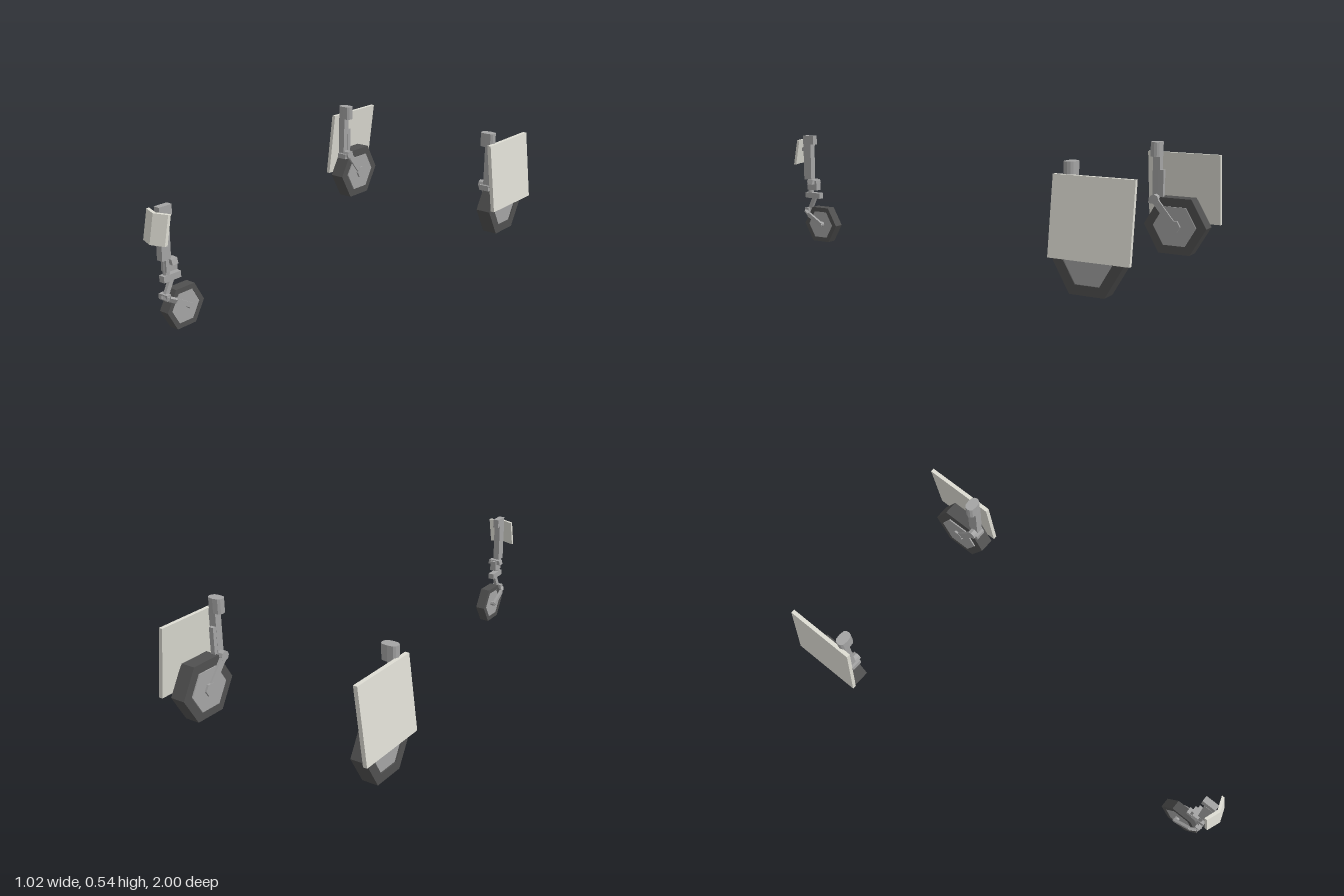
import * as THREE from 'three';

const material = (color) => new THREE.MeshStandardMaterial({ color, flatShading: true });
const metal = material(0xa4a4a4);
const rubber = material(0x505050);
const panel = material(0xdeddd4);

function add(group, name, geometry, mat, x = 0, y = 0, z = 0) {
  const mesh = new THREE.Mesh(geometry, mat);
  mesh.name = name;
  mesh.position.set(x, y, z);
  group.add(mesh);
  return mesh;
}

const box = (group, name, w, h, d, x, y, z) =>
  add(group, name, new THREE.BoxGeometry(w, h, d), metal, x, y, z);

// Straight bar between two points, w wide across x and d deep
function bar(group, name, a, b, w, d) {
  const from = new THREE.Vector3(...a), to = new THREE.Vector3(...b);
  const mid = from.clone().add(to).multiplyScalar(0.5);
  const mesh = box(group, name, w, from.distanceTo(to), d, mid.x, mid.y, mid.z);
  mesh.quaternion.setFromUnitVectors(new THREE.Vector3(0, 1, 0), to.sub(from).normalize());
  return mesh;
}

// Prism lying along x with a corner pointing to +z
const disc = (r, w, sides = 6) => new THREE.CylinderGeometry(r, r, w, sides).rotateZ(Math.PI / 2);

// Outline extruded along z, centred on z = 0
function slab(points, depth) {
  const shape = new THREE.Shape(points.map(([x, y]) => new THREE.Vector2(x, y)));
  return new THREE.ExtrudeGeometry(shape, { depth, bevelEnabled: false }).translate(0, 0, -depth / 2);
}

// Six-sided tyre ring with a hub in its opening
function wheel(group, radius, hubRadius, width, hubWidth, hubShift, x, y, z) {
  const hex = (r, Type) => new Type(Array.from({ length: 6 }, (_, i) =>
    new THREE.Vector2(r * Math.cos(i * Math.PI / 3), r * Math.sin(i * Math.PI / 3))));
  const ring = hex(radius, THREE.Shape);
  ring.holes.push(hex(hubRadius, THREE.Path));
  const tyre = new THREE.ExtrudeGeometry(ring, { depth: width, bevelEnabled: false });
  tyre.translate(0, 0, -width / 2).rotateY(Math.PI / 2);
  add(group, 'tyre', tyre, rubber, x, y, z);
  add(group, 'hub', disc(hubRadius, hubWidth), metal, x + hubShift, y, z);
}

function noseGear() {
  const g = new THREE.Group();
  g.name = 'noseGear';
  wheel(g, 0.097, 0.073, 0.045, 0.041, 0, 0, 0.084, 0.85);
  add(g, 'axle', disc(0.012, 0.086, 8), metal, 0, 0.087, 0.84);

  // Fork bending around the front of the wheel
  for (const s of [-1, 1]) {
    const path = [[0, 0.146, 0.943], [s * 0.026, 0.143, 0.936],
      [s * 0.037, 0.132, 0.912], [s * 0.038, 0.087, 0.835]];
    for (let i = 0; i < 3; i++) bar(g, 'fork', path[i], path[i + 1], 0.013, 0.02);
  }
  box(g, 'forkCrown', 0.046, 0.024, 0.022, 0, 0.147, 0.937);

  // Trailing link and joint blocks
  bar(g, 'lowerLink', [0, 0.14, 0.938], [0, 0.22, 0.897], 0.014, 0.02);
  box(g, 'linkBlock', 0.028, 0.027, 0.088, 0, 0.223, 0.905);
  add(g, 'piston', new THREE.CylinderGeometry(0.014, 0.014, 0.09, 8), metal, 0, 0.265, 0.925);
  box(g, 'collar', 0.03, 0.048, 0.058, 0, 0.274, 0.907);
  add(g, 'collarEars', slab([[-0.034, 0], [0.034, 0], [0.028, 0.022], [-0.028, 0.022]], 0.03),
    metal, 0, 0.28, 0.905);

  // Shock strut with a top mount
  add(g, 'strut', slab([[-0.015, 0.3], [0.015, 0.3], [0.015, 0.48], [-0.015, 0.48]], 0.045),
    metal, 0, 0, 0.932);
  box(g, 'topMount', 0.028, 0.042, 0.064, 0, 0.497, 0.925);

  // Folded door, leaning forward at its foot
  const fold = slab([[-0.061, 0], [-0.061, -0.014], [0, 0.008], [0.061, -0.014],
    [0.061, 0], [0, 0.022]].map(([x, y]) => [x, -y]).reverse(), 0.12);
  fold.rotateX(-Math.PI / 2);
  const p = fold.attributes.position;
  for (let i = 0; i < p.count; i++) p.setZ(i, p.getZ(i) - p.getY(i) * 0.2);
  // Bring the fold to the front
  let front = -Infinity, back = Infinity;
  for (let i = 0; i < p.count; i++) {
    front = Math.max(front, p.getZ(i));
    back = Math.min(back, p.getZ(i));
  }
  const foldsForward = Math.abs(front) > Math.abs(back);
  if (!foldsForward) {
    fold.rotateY(Math.PI);
    for (let i = 0; i < p.count; i++) p.setZ(i, p.getZ(i) - p.getY(i) * 0.4);
    front = -Infinity;
    for (let i = 0; i < p.count; i++) front = Math.max(front, p.getZ(i));
  }
  fold.computeVertexNormals();
  add(g, 'noseDoor', fold, panel, 0, 0.439, 1 - front);
  box(g, 'doorBracket', 0.02, 0.02, 0.04, 0, 0.45, 0.96);
  return g;
}

// s = 1 builds the left gear, s = -1 the right
function mainGear(s) {
  const g = new THREE.Group();
  g.name = s > 0 ? 'leftMainGear' : 'rightMainGear';
  wheel(g, 0.145, 0.1, 0.07, 0.07, -s * 0.006, s * 0.444, 0.17, -0.818);
  add(g, 'axle', disc(0.03, 0.014), metal, s * 0.4, 0.17, -0.818);

  // Swing arm on the inner face of the wheel
  bar(g, 'swingArm', [s * 0.401, 0.285, -0.722], [s * 0.401, 0.165, -0.822], 0.012, 0.03);
  add(g, 'pivot', disc(0.022, 0.062, 8), metal, s * 0.425, 0.285, -0.722);
  box(g, 'pivotBlock', 0.05, 0.025, 0.045, s * 0.43, 0.277, -0.715);

  // Leg, widening towards the top
  add(g, 'leg', slab([[-0.018, 0.27], [0.013, 0.27], [0.016, 0.4], [0.018, 0.49], [-0.018, 0.49]]
    .map(([x, y]) => [x, y]), 0.034), metal, s * 0.438, 0, -0.72);
  box(g, 'actuator', 0.022, 0.14, 0.025, s * 0.432, 0.345, -0.742);

  // Rounded top mount
  const mount = new THREE.CylinderGeometry(0.024, 0.024, 0.065, 12);
  const p = mount.attributes.position;
  for (let i = 0; i < p.count; i++) {
    const x = p.getX(i);
    if (Math.abs(x) > 1e-5) p.setX(i, x + Math.sign(x) * 0.012);
  }
  add(g, 'topMount', mount, metal, s * 0.424, 0.508, -0.72);

  // Outer door, leaning outwards at its foot
  const door = [[0.453, 0.493], [0.49, 0.18], [0.508, 0.18], [0.471, 0.493]];
  add(g, 'mainDoor', slab(door.map(([x, y]) => [s * x, y]), 0.333), panel, 0, 0, -0.8325);
  return g;
}

export function createModel() {
  const model = new THREE.Group();
  model.name = 'landingGear';
  model.add(noseGear(), mainGear(1), mainGear(-1));
  return model;
}
